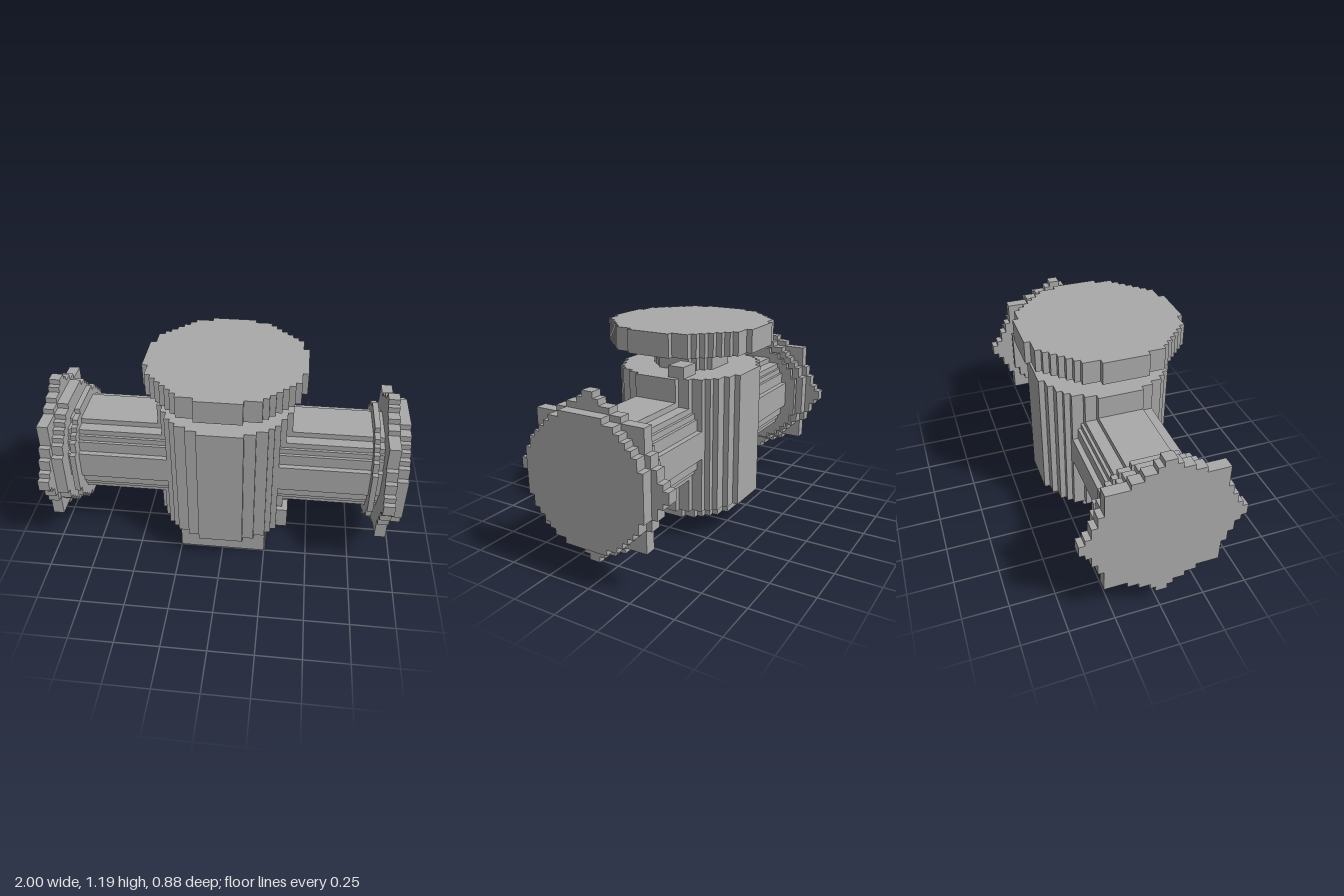
import * as THREE from 'three';

const U = 1 / 32; // size of one step
const AXIS_Y = 0.5625; // height of the pipe flanges' centre

// Closed stair-stepped outline from its upper right corners, listed side to top
function steppedShape(corners) {
  const q = [];
  corners.forEach(([w, h], i) => {
    q.push([w, h]);
    if (i < corners.length - 1) q.push([corners[i + 1][0], h]);
  });
  const r = [...q].reverse();
  const pts = [
    ...q,
    ...r.map(([x, y]) => [-x, y]),
    ...q.map(([x, y]) => [-x, -y]),
    ...r.map(([x, y]) => [x, -y]),
  ];
  return new THREE.Shape(pts.map(([x, y]) => new THREE.Vector2(x, y)));
}

// Circle of n steps radius
function steppedCircle(n) {
  const corners = [];
  for (let j = 0; j < n; j++) {
    const w = Math.round(Math.sqrt((n + 0.15) ** 2 - (j + 0.5) ** 2)) * U;
    const last = corners[corners.length - 1];
    if (last && last[0] === w) last[1] = (j + 1) * U;
    else corners.push([w, (j + 1) * U]);
  }
  return steppedShape(corners);
}

export function createModel() {
  const model = new THREE.Group();
  model.name = 'pipeValve';
  const grey = new THREE.MeshStandardMaterial({ color: 0xaaaaaa });
  grey.name = 'metal grey';

  const add = (name, geometry, parent = model) => {
    const mesh = new THREE.Mesh(geometry, grey);
    mesh.name = name;
    parent.add(mesh);
    return mesh;
  };
  const extrude = (shape, depth) =>
    new THREE.ExtrudeGeometry(shape, { depth, bevelEnabled: false });
  const upright = (name, n, y0, y1) =>
    add(name, extrude(steppedCircle(n), y1 - y0).rotateX(-Math.PI / 2).translate(0, y0, 0));
  const sideways = (name, shape, x0, x1, y = AXIS_Y) =>
    add(name, extrude(shape, x1 - x0).rotateY(Math.PI / 2).translate(x0, y, 0));
  const box = (name, x0, x1, y0, y1, z0, z1, parent) =>
    add(name, new THREE.BoxGeometry(x1 - x0, y1 - y0, z1 - z0)
      .translate((x0 + x1) / 2, (y0 + y1) / 2, (z0 + z1) / 2), parent);

  // Upright body, neck and cap
  upright('bodyBase', 10, 0.125, 0.1875);
  upright('body', 12, 0.1875, 0.9375);
  upright('neck', 6, 0.9375, 1.0625);
  upright('cap', 14, 1.0625, 1.1875);

  // Foot and small bosses
  box('foot', -0.25, 0.25, 0, 0.1875, 0.1875, 0.25);
  box('lowerBoss', 0.25, 0.375, 0.1875, 0.3125, 0.094, 0.219);
  box('upperBoss', 0.219, 0.344, 0.9, 1.0, -0.156, -0.0625);

  // Horizontal pipe
  const pipe = steppedShape([
    [0.25, 0.078], [0.22, 0.141], [0.203, 0.172], [0.1875, 0.203], [0.125, 0.234],
  ]);
  sideways('pipe', pipe, -0.9, 0.9, 0.578);

  // Toothed flange spanning x0 to x1, with eight teeth
  const gear = (name, x0, x1) => {
    const group = new THREE.Group();
    group.name = name;
    group.position.y = AXIS_Y;
    const disc = sideways(name + 'Disc', steppedCircle(12), x0, x1, 0);
    group.add(disc);
    for (let i = 0; i < 4; i++) {
      const teeth = new THREE.Group();
      teeth.name = name + 'Teeth';
      teeth.rotation.x = (i * Math.PI) / 2;
      box('toothBase', x0, x1, 11 * U, 13 * U, -2 * U, 2 * U, teeth);
      box('toothTip', x0, x1, 13 * U, 14 * U, -U, U, teeth);
      box('cornerTooth', x0, x1, 8 * U, 10 * U, 8 * U, 10 * U, teeth);
      group.add(teeth);
    }
    model.add(group);
  };

  // Left end: face disc outermost; right end: toothed flange outermost
  sideways('leftRing', steppedCircle(10), 0.8125, 0.84375);
  gear('leftFlange', 0.875, 0.9375);
  sideways('leftFace', steppedCircle(11), 0.9375, 1);
  sideways('rightRing', steppedCircle(10), -0.84375, -0.8125);
  sideways('rightFace', steppedCircle(11), -0.9375, -0.875);
  gear('rightFlange', -1, -0.9375);

  return model;
}
